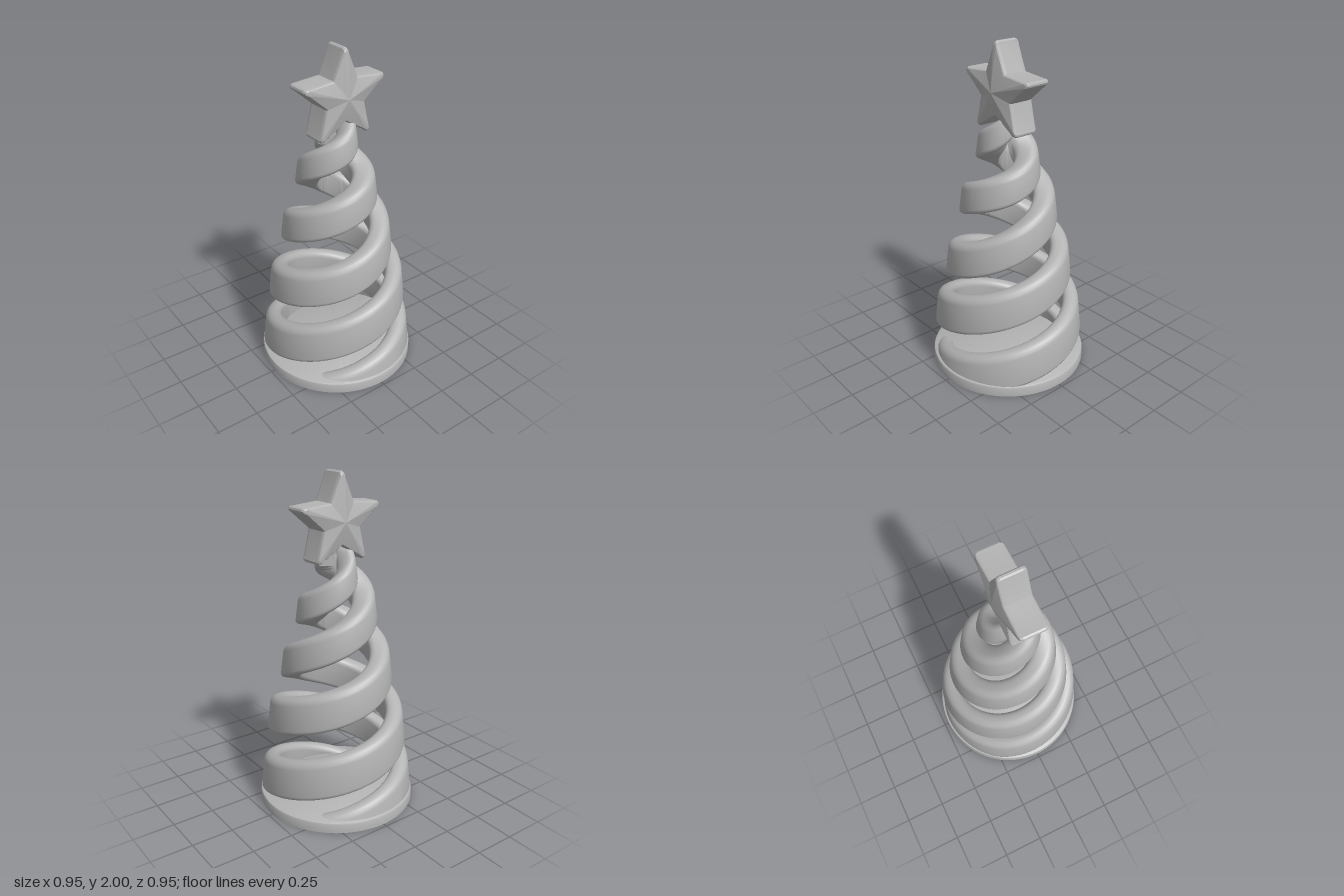
import * as THREE from 'three';
import { toCreasedNormals } from 'three/addons/utils/BufferGeometryUtils.js';

// Values at each quarter turn, from FIRST on: outer radius, and centre height of each band
const FIRST = -3;
const RADII = [0.468, 0.468, 0.463, 0.443, 0.4, 0.36, 0.31, 0.268, 0.212, 0.158, 0.09];
const HEIGHTS_A = [-0.12, 0.05, 0.235, 0.405, 0.595, 0.765, 0.965, 1.15, 1.34, 1.465, 1.58];
const HEIGHTS_B = [-0.12, 0.05, 0.235, 0.435, 0.62, 0.785, 0.985, 1.14, 1.26, 1.41, 1.55];

// Smooth interpolation through a table of quarter-turn values
function smoothTable(values) {
  const spline = new THREE.SplineCurve(values.map((v, i) => new THREE.Vector2(i, v)));
  return (k) => spline.getPoint((k - FIRST) / (values.length - 1)).y;
}

function meshGeometry(positions, index, crease) {
  const geo = new THREE.BufferGeometry();
  geo.setAttribute('position', new THREE.Float32BufferAttribute(positions, 3));
  geo.setIndex(index);
  return toCreasedNormals(geo, crease);
}

// Rounded rectangle, anticlockwise, in (radial, height) coordinates
function bandSection(w, h) {
  const points = [];
  const corners = [[1, -1, 0.028], [1, 1, 0.045], [-1, 1, 0.04], [-1, -1, 0.028]];
  corners.forEach(([sx, sy, size], c) => {
    const r = Math.min(size, w * 0.45, h * 0.45);
    for (let i = 0; i <= 4; i++) {
      const a = (c - 1 + i / 4) * Math.PI / 2;
      points.push([sx * (w / 2 - r) + r * Math.cos(a), sy * (h / 2 - r) + r * Math.sin(a)]);
    }
  });
  return points;
}

// Rounded band winding up the cone, leaning slightly inwards
function ribbonGeometry(heights) {
  const radiusAt = smoothTable(RADII), heightAt = smoothTable(heights);
  const positions = [], index = [], steps = 220, n = 20;
  const start = -2.8, end = 6.7; // quarter turns
  for (let i = 0; i <= steps; i++) {
    const k = start + (end - start) * i / steps;
    const phi = (k - 1) * Math.PI / 2;
    const yc = heightAt(k), outer = radiusAt(k);
    const f = THREE.MathUtils.clamp(k / 6, 0, 1);
    const w = THREE.MathUtils.lerp(0.098, 0.15, f);
    const h = THREE.MathUtils.lerp(0.238, 0.175, f);
    for (const [u, v] of bandSection(w, h)) {
      const y = THREE.MathUtils.clamp(yc + v, 0.01, 1.6);
      const r = Math.max(0.004, outer + u - w / 2 - 0.025 * (v / h + 0.3));
      positions.push(r * Math.sin(phi), y, r * Math.cos(phi));
    }
  }
  for (let i = 0; i < steps; i++) {
    for (let j = 0; j < n; j++) {
      const a = i * n + j, b = i * n + (j + 1) % n;
      index.push(a, a + n, b, b, a + n, b + n);
    }
  }
  // End caps
  for (let j = 1; j < n - 1; j++) {
    index.push(0, j, j + 1);
    const e = steps * n;
    index.push(e, e + j + 1, e + j);
  }
  return meshGeometry(positions, index, 0.8);
}

// Five-pointed star in the YZ plane, with rounded tips and a raised middle on both sides
function starGeometry() {
  const outline = []; // [z, y]
  for (let i = 0; i < 5; i++) {
    const a = Math.PI / 2 - i * Math.PI * 2 / 5;
    const polar = (r, d) => [r * Math.cos(a + d), r * Math.sin(a + d)];
    outline.push(polar(0.255, 0.07), polar(0.269, 0.052), polar(0.276, 0.02),
      polar(0.276, -0.02), polar(0.269, -0.052), polar(0.255, -0.07));
    outline.push(polar(0.134, -Math.PI / 5));
  }
  const n = outline.length, positions = [], index = [];
  // Rings from the +x face to the -x face, with a small bevel at each rim
  const rings = [[0.08, 0.93], [0.074, 0.975], [0.06, 1], [-0.06, 1], [-0.074, 0.975], [-0.08, 0.93]];
  for (const [x, scale] of rings) {
    for (const [z, y] of outline) positions.push(x, y * scale, z * scale);
  }
  positions.push(0.11, 0, 0, -0.11, 0, 0);
  const front = rings.length * n, back = front + 1, last = (rings.length - 1) * n;
  for (let j = 0; j < n; j++) {
    const m = (j + 1) % n;
    index.push(front, j, m, back, last + m, last + j);
    for (let i = 0; i < rings.length - 1; i++) {
      const a = i * n + j, b = i * n + m;
      index.push(a, a + n, b, b, a + n, b + n);
    }
  }
  return meshGeometry(positions, index, 0.2);
}

export function createModel() {
  const group = new THREE.Group();
  const grey = new THREE.MeshStandardMaterial({ color: 0xb4b4b4 });
  grey.name = 'plain grey';
  const add = (name, geometry) => {
    const mesh = new THREE.Mesh(geometry, grey);
    mesh.name = name;
    group.add(mesh);
    return mesh;
  };

  // Round base with a softened upper rim
  const rim = [[0, 0], [0.476, 0], [0.476, 0.052], [0.472, 0.061], [0.463, 0.066], [0, 0.066]];
  const base = new THREE.LatheGeometry(rim.map(([x, y]) => new THREE.Vector2(x, y)), 96);
  add('base', toCreasedNormals(base, 0.6));

  // Two interleaved spiral bands, half a turn apart
  add('spiralBandA', ribbonGeometry(HEIGHTS_A));
  add('spiralBandB', ribbonGeometry(HEIGHTS_B)).rotation.y = Math.PI;

  // Star on top
  add('star', starGeometry()).position.set(0.015, 1.725, 0);
  return group;
}
